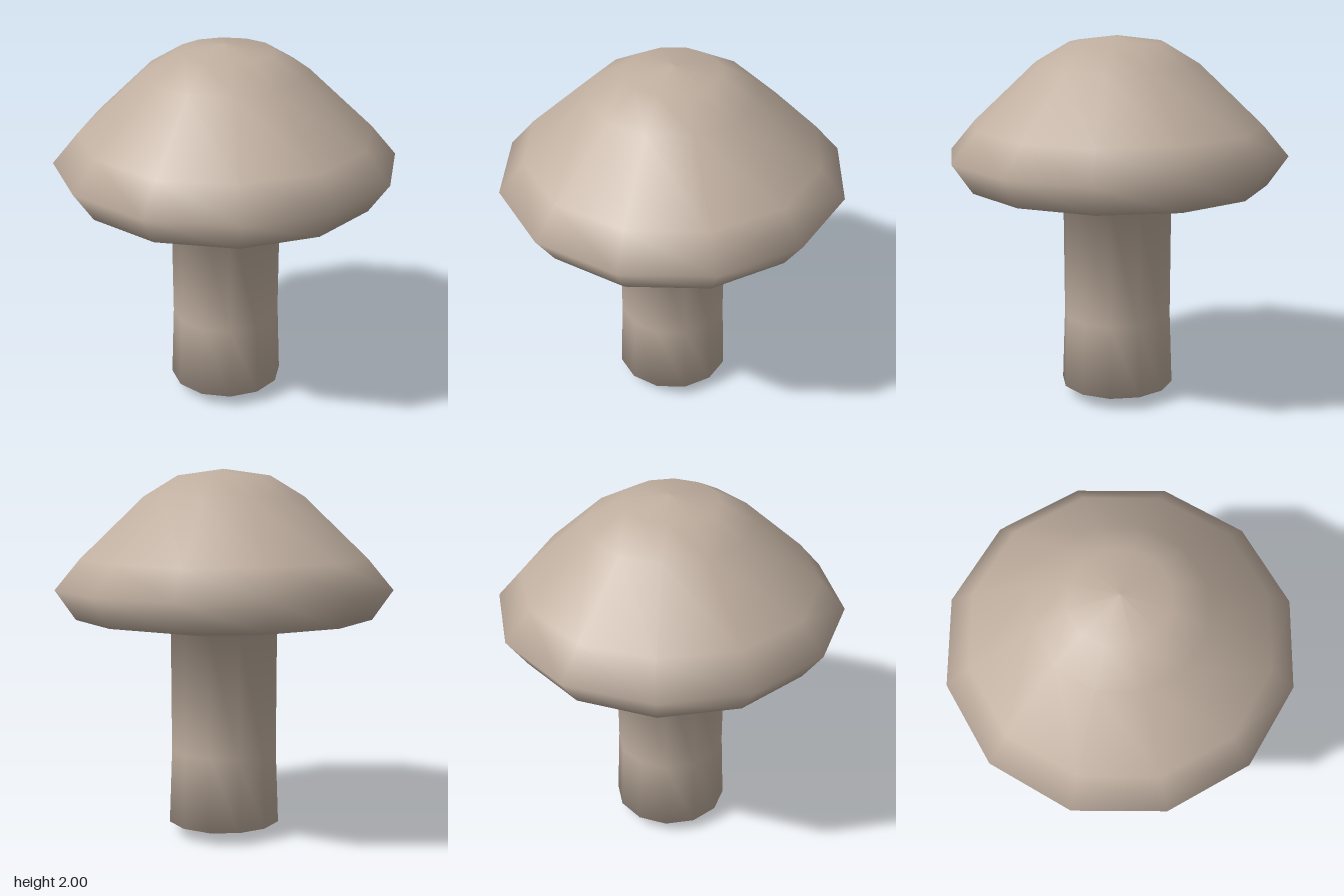
import * as THREE from 'three';

const SIDES = 12;

export function createModel() {
  const group = new THREE.Group();
  group.name = 'mushroom';

  const beige = new THREE.MeshStandardMaterial({ color: 0xbfae9f });
  beige.name = 'beige';

  // Stem and cap share one smooth skin, listed from the base tip to the crown
  const stem = [[0, 0], [0.31, 0.07], [0.295, 0.47], [0.297, 1.13]];
  const cap = [[0.81, 1.21], [0.92, 1.37], [0.785, 1.53], [0.44, 1.855], [0.255, 1.965], [0, 2]];
  const profile = [...stem, ...cap].map(([r, y]) => new THREE.Vector2(r, y));

  const body = new THREE.Mesh(new THREE.LatheGeometry(profile, SIDES), beige);
  body.name = 'stemAndCap';
  group.add(body);

  return group;
}
